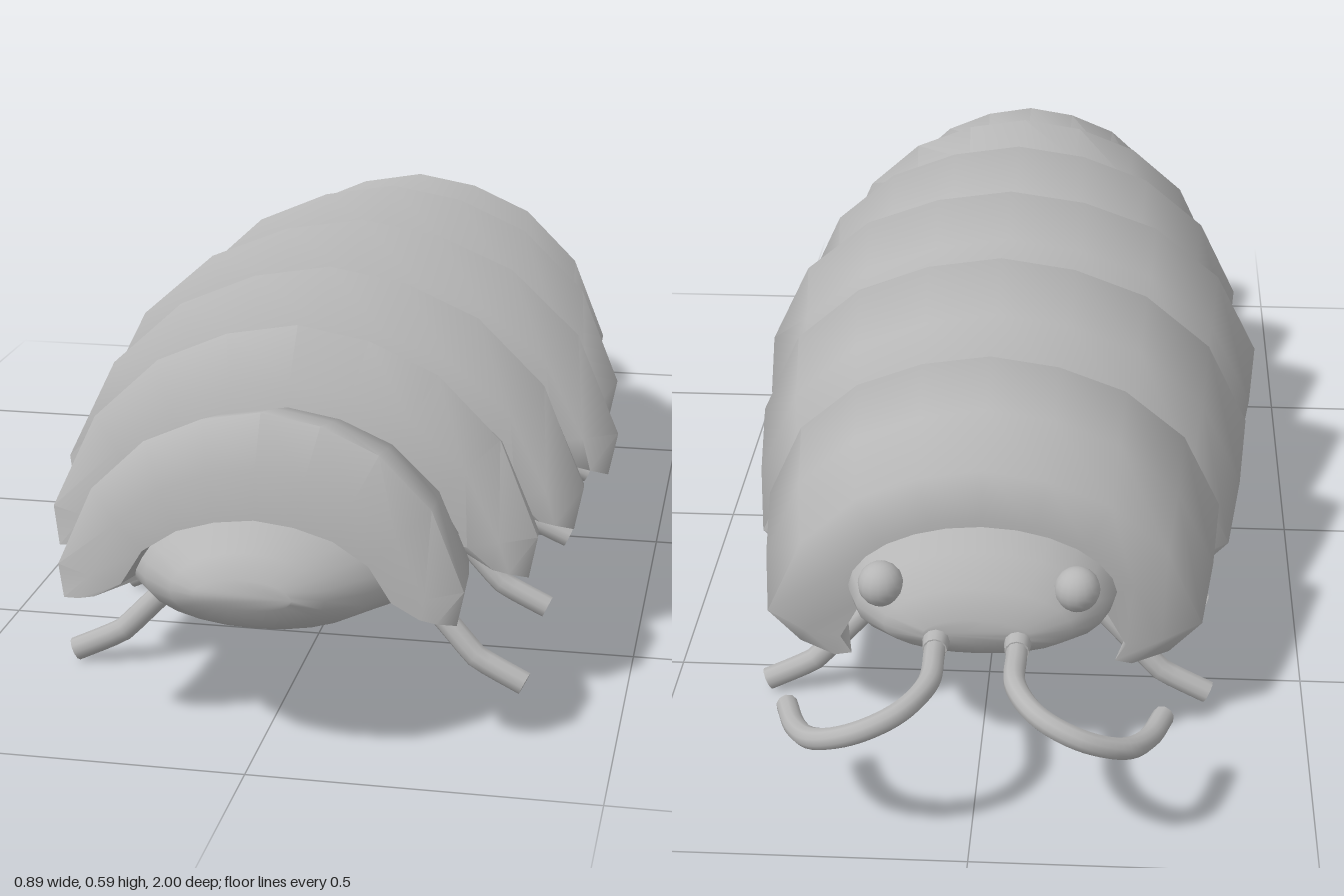
import * as THREE from 'three';
import { mergeGeometries, toCreasedNormals } from 'three/addons/utils/BufferGeometryUtils.js';

// Skin closed cross-sections (clockwise about the direction of travel), capped at both ends
function loft(rings, crease) {
  const n = rings[0].length, last = (rings.length - 1) * n, index = [];
  for (let i = 0; i < rings.length - 1; i++) {
    for (let j = 0; j < n; j++) {
      const k = (j + 1) % n;
      const a = i * n + j, b = i * n + k, c = a + n, d = b + n;
      index.push(a, c, b, b, c, d);
    }
  }
  for (let k = 1; k < n - 1; k++) {
    index.push(0, k, k + 1);
    index.push(last, last + k + 1, last + k);
  }
  const geo = new THREE.BufferGeometry();
  geo.setAttribute('position', new THREE.Float32BufferAttribute(rings.flat(2), 3));
  geo.setIndex(index);
  return toCreasedNormals(geo, crease);
}

// Round tube along a path, closed by a disc at its free end
function cappedTube(curve, radius, segments) {
  const tube = new THREE.TubeGeometry(curve, segments, radius, 10);
  const cap = new THREE.CircleGeometry(radius, 10);
  cap.applyQuaternion(new THREE.Quaternion().setFromUnitVectors(
    new THREE.Vector3(0, 0, 1), curve.getTangent(1)));
  const end = curve.getPoint(1);
  cap.translate(end.x, end.y, end.z);
  return mergeGeometries([tube, cap]);
}

// Half of the arch from crown to lower edge: x, y, thickness, inward curl towards the head
const HALF_ARCH = [
  [0, 1, 1, 0], [0.29, 0.945, 1, 0], [0.573, 0.81, 1, 0],
  [0.83, 0.54, 1, 0], [0.995, 0.12, 1, 0], [0.975, -0.06, 0.5, 0.14],
];
const ARCH = [
  ...HALF_ARCH.slice(1).reverse().map(([x, y, t, curl]) => [-x, y, t, curl]),
  ...HALF_ARCH,
];
// Plate profile: fraction of length, scale, depth through the thickness, share of lean
const PROFILE = [
  [0, 0.975, 0.5, 0.35], [0.07, 1, 0, 0.8], [0.5, 0.97, 0, 0.4], [0.9, 0.92, 0, 0.2],
  [1, 0.75, 0, 0.2], [1, 0.75, 0.6, 0.1], [0, 0.97, 1, 0],
];

function plateGeometry({ z, length, w, top, slope, lean }) {
  const base = 0.23, h = top - base;
  return loft(ARCH.map(([ux, uy, thick, curl]) => PROFILE.map(([s, r, depth, k]) => {
    const x = (ux - Math.sign(ux) * curl * s) * w * r - ux * depth * thick * 0.09;
    const y = uy * (h * r - depth * 0.135);
    return [x, base + y - slope * s * length, z - s * length - lean * k * y];
  })), 1.3);
}

export function createModel() {
  const model = new THREE.Group();
  const shell = new THREE.MeshStandardMaterial({ color: 0xb6b6b6 });
  shell.name = 'shellGrey';
  const add = (geo, name) => {
    const mesh = new THREE.Mesh(geo, shell);
    mesh.name = name;
    model.add(mesh);
    return mesh;
  };

  // Flattened body running from the tail to the head: z, half width, top, bottom
  const stations = [
    [1.0, 0.07, 0.295, 0.25], [0.97, 0.11, 0.322, 0.215], [0.92, 0.16, 0.345, 0.19],
    [0.84, 0.215, 0.36, 0.177], [0.6, 0.26, 0.41, 0.177], [0.3, 0.3, 0.44, 0.177],
    [0, 0.31, 0.45, 0.177], [-0.3, 0.28, 0.43, 0.177], [-0.55, 0.23, 0.39, 0.177],
    [-0.68, 0.2, 0.365, 0.178], [-0.72, 0.185, 0.35, 0.185],
    [-0.765, 0.14, 0.315, 0.205], [-0.787, 0.08, 0.275, 0.23],
  ];
  const SIDES = 24;
  add(loft(stations.map(([z, w, top, bottom]) => {
    const mid = bottom + (top - bottom) * 0.42;
    return Array.from({ length: SIDES }, (_, i) => {
      const a = (i / SIDES) * Math.PI * 2, c = Math.cos(a), s = Math.sin(a);
      const y = s > 0 ? Math.pow(s, 1.1) * (top - mid) : -Math.pow(-s, 0.9) * (mid - bottom);
      return [c * w, mid + y, z];
    });
  }), 1.2), 'body');

  // Overlapping back plates, tail to head
  [
    { z: 0.925, length: 0.25, w: 0.293, top: 0.496, slope: 0.14, lean: 0.16 },
    { z: 0.715, length: 0.26, w: 0.37, top: 0.556, slope: 0.26, lean: 0.25 },
    { z: 0.5, length: 0.32, w: 0.415, top: 0.587, slope: 0.29, lean: 0.28 },
    { z: 0.235, length: 0.32, w: 0.445, top: 0.6, slope: 0.3, lean: 0.28 },
    { z: -0.06, length: 0.33, w: 0.418, top: 0.595, slope: 0.32, lean: 0.27 },
    { z: -0.36, length: 0.3, w: 0.365, top: 0.552, slope: 0.29, lean: 0.29 },
  ].forEach((p, i) => add(plateGeometry(p), `backPlate${i + 1}`));

  for (const side of [1, -1]) {
    const label = side > 0 ? 'left' : 'right';
    const v = (x, y, z) => new THREE.Vector3(side * x, y, z);

    // Bent legs, fanned along the body: root z, foot z
    [[0.6, 0.665], [0.32, 0.365], [0.045, 0.045], [-0.25, -0.295], [-0.51, -0.565]]
      .forEach(([root, foot], i) => {
        const at = (t) => root + (foot - root) * t;
        const path = new THREE.CatmullRomCurve3([
          v(0.03, 0.185, at(0)), v(0.18, 0.146, at(0.4)),
          v(0.275, 0.055, at(0.85)), v(0.35, 0.02, at(1)),
        ], false, 'catmullrom', 0.15);
        add(cappedTube(path, 0.018, 18), `${label}Leg${i + 1}`);
      });

    // Hooked antenna with its socket
    const hook = new THREE.CatmullRomCurve3([
      v(0.06, 0.237, -0.76), v(0.06, 0.237, -0.82), v(0.063, 0.236, -0.9), v(0.1, 0.226, -0.962),
      v(0.16, 0.205, -0.984), v(0.22, 0.178, -0.96), v(0.253, 0.163, -0.91), v(0.275, 0.158, -0.845),
    ]);
    add(cappedTube(hook, 0.016, 40), `${label}Antenna`);
    const socket = add(new THREE.CylinderGeometry(0.018, 0.024, 0.06, 12), `${label}AntennaSocket`);
    socket.rotation.x = -Math.PI / 2;
    socket.position.copy(v(0.06, 0.237, -0.78));

    // Eye
    const eye = add(new THREE.SphereGeometry(0.034, 16, 12), `${label}Eye`);
    eye.position.copy(v(0.145, 0.305, -0.74));
  }
  return model;
}
